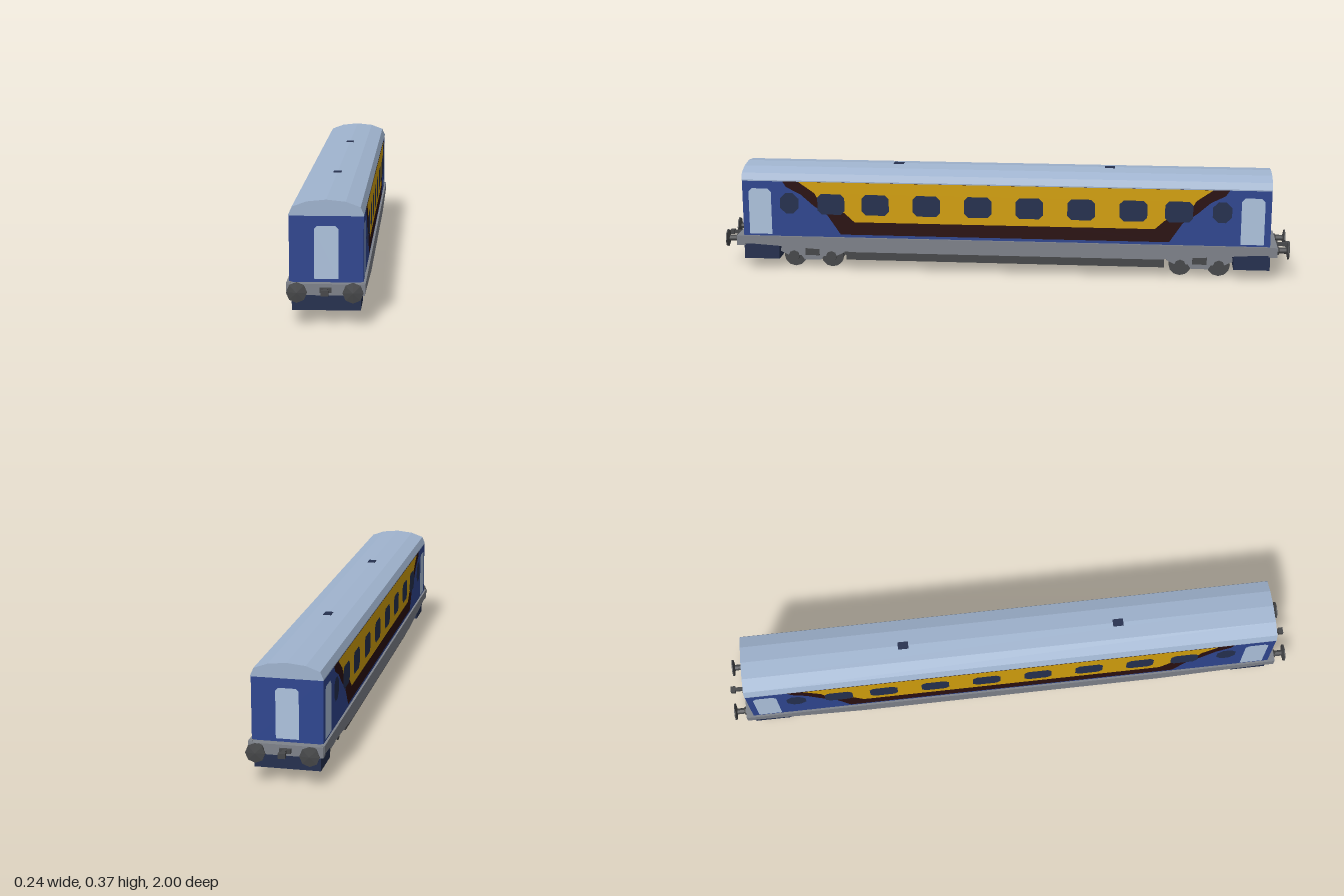
import * as THREE from 'three';

const mat = (name, color) => Object.assign(new THREE.MeshStandardMaterial({ color }), { name, flatShading: true });

export function createModel() {
  const blue = mat('body blue', 0x2f4690);
  const navy = mat('window navy', 0x25304f);
  const pale = mat('pale blue door', 0xaec3de);
  const roofMat = mat('roof blue grey', 0xa0b4cf);
  const yellow = mat('yellow', 0xd3a00c);
  const maroon = mat('dark maroon', 0x2a0f10);
  const grey = mat('frame grey', 0x7e828a);
  const dark = mat('dark metal', 0x47484a);

  const coach = new THREE.Group();
  coach.name = 'railwayCoach';

  const add = (name, geo, material, x = 0, y = 0, z = 0, parent = coach) => {
    const mesh = new THREE.Mesh(geo, material);
    mesh.name = name;
    mesh.position.set(x, y, z);
    parent.add(mesh);
    return mesh;
  };
  const box = (name, w, h, d, material, x, y, z, parent) =>
    add(name, new THREE.BoxGeometry(w, h, d), material, x, y, z, parent);
  const poly = (pts) => new THREE.Shape(pts.map(([a, b]) => new THREE.Vector2(a, b)));
  // Rectangle with cut corners, centred on (cx, cy)
  const panel = (cx, cy, w, h, c, cutBottom = true) => {
    const a = w / 2, b = h / 2, k = cutBottom ? c : 0.001;
    return poly([[-a + k, -b], [a - k, -b], [a, -b + k], [a, b - c], [a - c, b], [-a + c, b], [-a, b - c], [-a, -b + k]]
      .map(([u, v]) => [u + cx, v + cy]));
  };

  // Body and roof
  box('body', 0.222, 0.202, 1.844, blue, 0, 0.22, 0);
  const roofShape = poly([[-0.112, 0.32], [0.112, 0.32], [0.112, 0.324], [0.102, 0.347], [0.058, 0.363],
    [0, 0.369], [-0.058, 0.363], [-0.102, 0.347], [-0.112, 0.324]]);
  const roofGeo = new THREE.ExtrudeGeometry(roofShape, { depth: 1.846, bevelEnabled: false });
  add('roof', roofGeo, roofMat, 0, 0, -0.923);
  for (const z of [0.38, -0.365]) box('roofVent', 0.026, 0.003, 0.036, navy, 0, 0.3685, z);

  // Painted side livery, doors and windows
  const mirrored = (half) => poly([...half, ...half.slice().reverse().map(([z, y]) => [-z, y])]);
  const maroonShape = mirrored([[0.778, 0.32], [0.765, 0.3], [0.715, 0.275], [0.67, 0.235], [0.62, 0.2], [0.575, 0.132]]);
  const yellowShape = mirrored([[0.722, 0.32], [0.665, 0.28], [0.635, 0.225], [0.56, 0.21], [0.525, 0.178]]);
  const windowZ = [0.607, 0.45, 0.27, 0.09];
  for (const s of [1, -1]) {
    const side = new THREE.Group();
    side.name = s > 0 ? 'leftSide' : 'rightSide';
    side.rotation.y = s * Math.PI / 2;
    coach.add(side);
    const flat = (name, shape, material, layer) =>
      add(name, new THREE.ShapeGeometry(shape), material, 0, 0, 0.111 + layer * 0.001, side);
    flat('maroonBand', maroonShape, maroon, 1);
    flat('yellowBand', yellowShape, yellow, 2);
    for (const e of [1, -1]) {
      flat('sideDoor', panel(e * 0.86, 0.211, 0.08, 0.165, 0.012, false), pale, 1);
      flat('endWindow', panel(e * 0.755, 0.242, 0.066, 0.074, 0.02), navy, 3);
      for (const z of windowZ) flat('window', panel(e * z, 0.241, 0.096, 0.074, 0.014), navy, 3);
    }
  }

  // Deck and side beams that deepen toward the middle
  box('deck', 0.216, 0.03, 1.85, grey, 0, 0.105, 0);
  const beamShape = mirrored([[0.94, 0.122], [0.94, 0.096], [0.53, 0.07]]);
  const beamGeo = new THREE.ExtrudeGeometry(beamShape, { depth: 0.013, bevelEnabled: false });
  beamGeo.rotateY(Math.PI / 2);
  add('leftSideBeam', beamGeo, grey, 0.105, 0, 0);
  add('rightSideBeam', beamGeo, grey, -0.118, 0, 0);

  // Underfloor box with dark sides and navy bottom
  add('underfloorBox', new THREE.BoxGeometry(0.2, 0.055, 1.12), [dark, dark, dark, navy, dark, dark], 0, 0.0645, 0);

  // Fittings repeated at both ends
  const wheelGeo = new THREE.CylinderGeometry(0.04, 0.04, 0.014, 12).rotateZ(Math.PI / 2);
  const axleGeo = new THREE.CylinderGeometry(0.009, 0.009, 0.15, 8).rotateZ(Math.PI / 2);
  const axleBoxGeo = new THREE.CylinderGeometry(0.02, 0.02, 0.014, 8).rotateZ(Math.PI / 2);
  const bufferGeo = new THREE.LatheGeometry([[0, 0], [0.017, 0], [0.015, 0.008], [0.011, 0.01], [0.011, 0.034],
    [0.031, 0.039], [0.031, 0.043], [0, 0.047]].map(([r, y]) => new THREE.Vector2(r, y)), 8).rotateX(Math.PI / 2);
  const frameShape = poly([[-0.11, 0.09], [-0.115, 0.06], [-0.085, 0.045], [-0.04, 0.045], [-0.03, 0.03],
    [0.03, 0.03], [0.04, 0.045], [0.085, 0.045], [0.115, 0.06], [0.11, 0.09]]);
  const frameGeo = new THREE.ExtrudeGeometry(frameShape, { depth: 0.012, bevelEnabled: false }).rotateY(Math.PI / 2);

  for (const e of [1, -1]) {
    const end = new THREE.Group();
    end.name = e > 0 ? 'frontEnd' : 'backEnd';
    end.rotation.y = e > 0 ? 0 : Math.PI;
    coach.add(end);

    add('endDoor', new THREE.ShapeGeometry(panel(0, 0.21, 0.072, 0.16, 0.009, false)), pale, 0, 0, 0.9235, end);
    box('headstock', 0.232, 0.034, 0.03, grey, 0, 0.103, 0.933, end);
    box('endSkirt', 0.206, 0.056, 0.125, navy, 0, 0.063, 0.862, end);

    // Coupling hook
    box('couplingPlate', 0.036, 0.014, 0.012, dark, 0, 0.103, 0.952, end);
    box('couplingBar', 0.012, 0.012, 0.03, dark, 0, 0.103, 0.97, end);
    box('couplingHook', 0.022, 0.016, 0.016, dark, 0, 0.103, 0.992, end);

    // Bogie
    const bogie = new THREE.Group();
    bogie.name = 'bogie';
    bogie.position.z = 0.683;
    end.add(bogie);
    box('bolster', 0.15, 0.04, 0.07, dark, 0, 0.075, 0, bogie);
    for (const z of [0.067, -0.067]) add('axle', axleGeo, dark, 0, 0.04, z, bogie);

    for (const s of [1, -1]) {
      add('buffer', bufferGeo, dark, s * 0.083, 0.103, 0.946, end);
      add('bogieFrame', frameGeo, grey, s * 0.081 - 0.006, 0, 0, bogie);
      box('springPanel', 0.006, 0.026, 0.05, dark, s * 0.087, 0.06, 0, bogie);
      for (const z of [0.067, -0.067]) {
        add('wheel', wheelGeo, dark, s * 0.058, 0.04, z, bogie);
        add('axleBox', axleBoxGeo, dark, s * 0.082, 0.043, z, bogie);
      }
    }
  }
  return coach;
}
